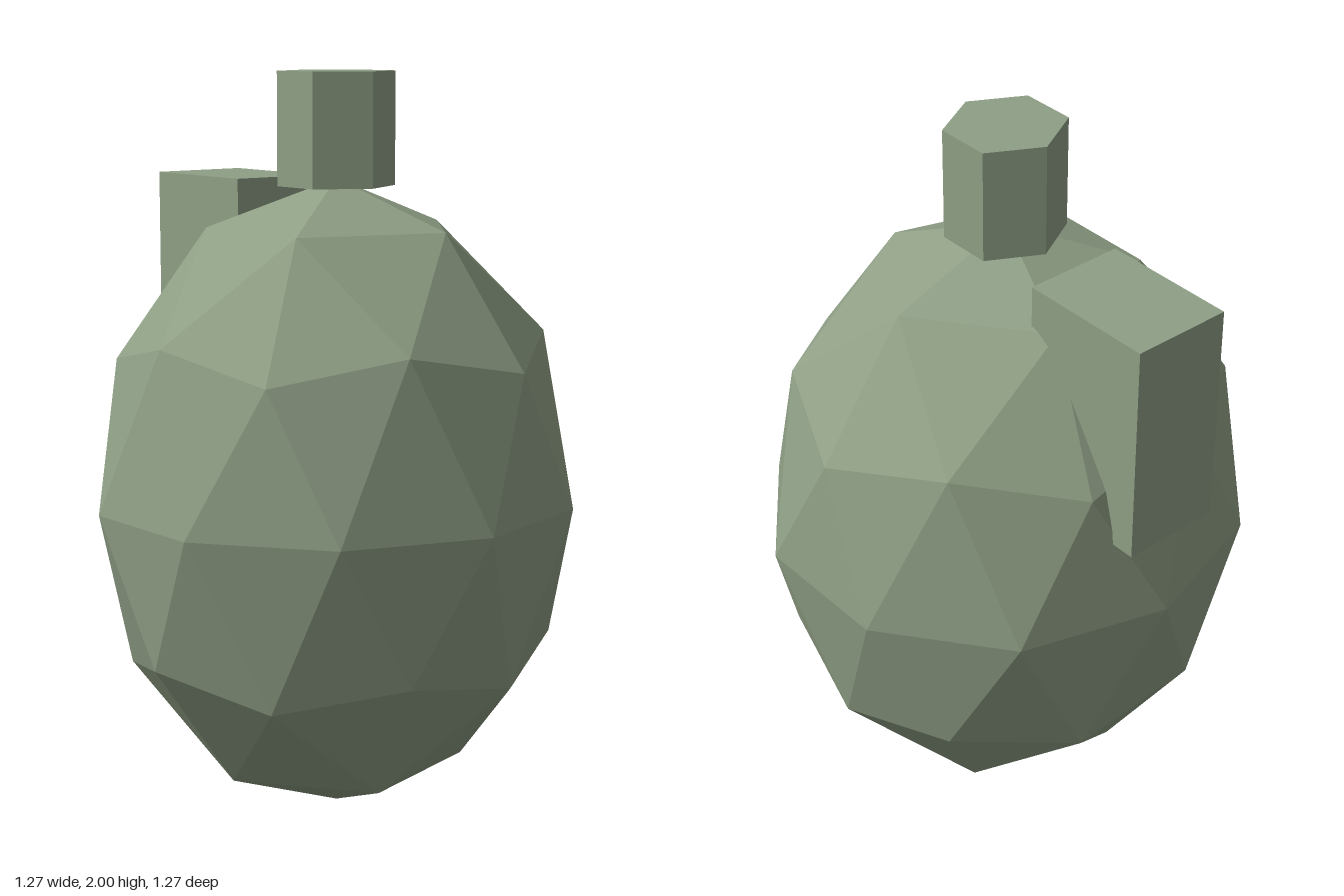
import * as THREE from 'three';

export function createModel() {
  const model = new THREE.Group();
  const olive = new THREE.MeshStandardMaterial({ color: 0x8f9f85, flatShading: true });
  olive.name = 'olive green';

  const add = (name, geometry, x, y, z) => {
    const mesh = new THREE.Mesh(geometry, olive);
    mesh.name = name;
    mesh.position.set(x, y, z);
    model.add(mesh);
  };

  // faceted egg-shaped body: icosphere turned so that a corner points straight up
  const body = new THREE.IcosahedronGeometry(1, 1);
  body.rotateZ(-Math.atan(2 / (1 + Math.sqrt(5))));
  body.scale(0.667, 0.86, 0.634);
  body.computeVertexNormals();
  add('body', body, 0, 0.86, 0);

  // six-sided cap on top, a corner facing the front
  const cap = new THREE.CylinderGeometry(0.152, 0.152, 0.3, 6);
  cap.scale(1.05, 1, 1);
  add('cap', cap, 0, 1.85, 0);

  // lever block on the back
  add('lever', new THREE.BoxGeometry(0.274, 0.605, 0.378), 0, 1.4075, -0.445);

  return model;
}
